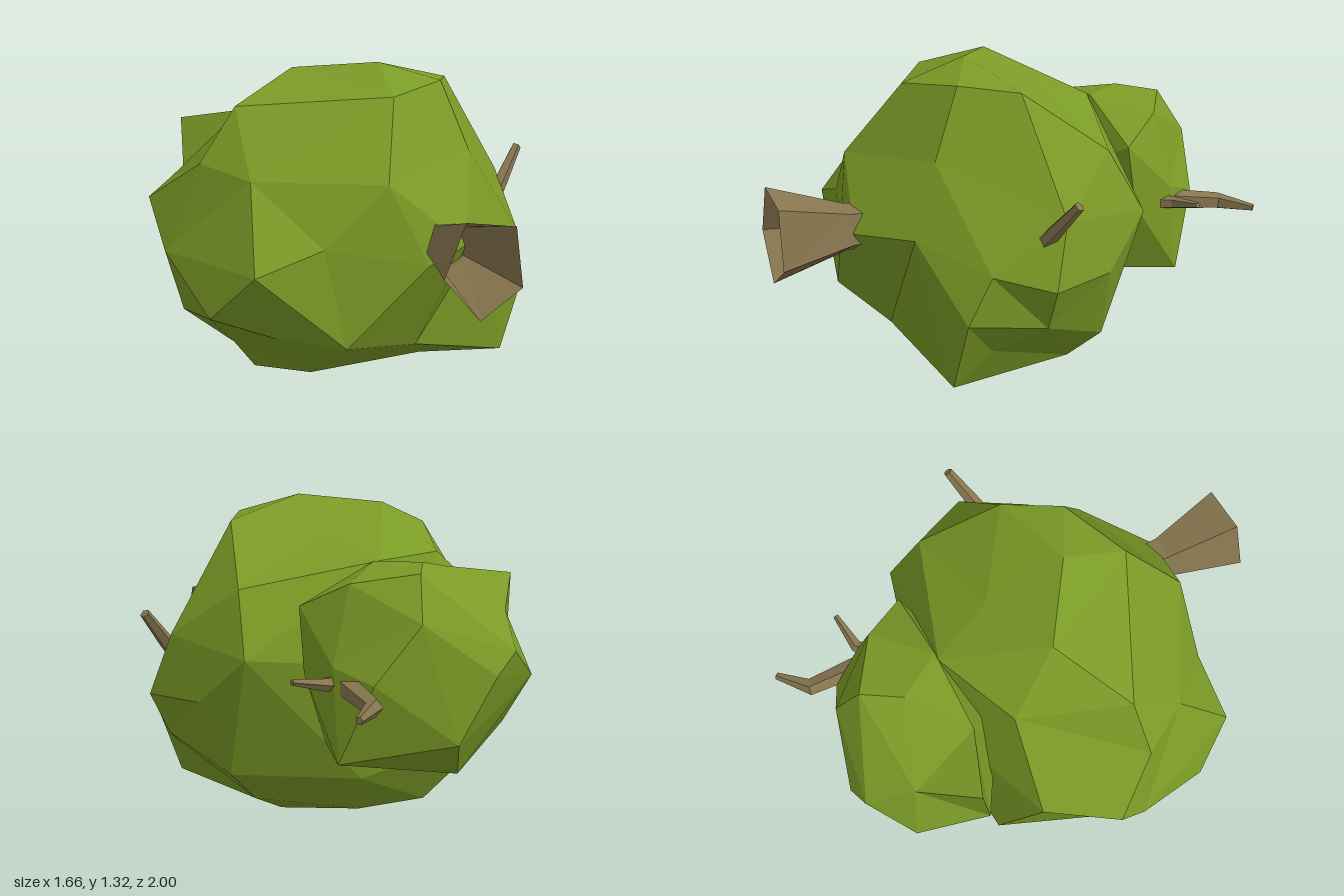
import * as THREE from 'three';
import { ConvexGeometry } from 'three/addons/geometries/ConvexGeometry.js';

const leaf = new THREE.MeshStandardMaterial({ color: 0x7b9b26, flatShading: true });
const bark = new THREE.MeshStandardMaterial({ color: 0x87764f, flatShading: true, side: THREE.DoubleSide });

// Faceted clump of leaves: corners around a centre, joined the way their directions join on a sphere,
// so dents and spikes are kept
function clump(name, center, corners) {
  const mid = new THREE.Vector3(...center);
  const tips = corners.map((c) => new THREE.Vector3(...c));
  const dirs = tips.map((t) => t.clone().sub(mid).normalize());
  const geo = new ConvexGeometry(dirs);
  const pos = geo.attributes.position, v = new THREE.Vector3();
  for (let i = 0; i < pos.count; i++) {
    v.fromBufferAttribute(pos, i);
    let best = 0;
    dirs.forEach((d, k) => { if (d.dot(v) > dirs[best].dot(v)) best = k; });
    pos.setXYZ(i, tips[best].x, tips[best].y, tips[best].z);
  }
  geo.computeVertexNormals();
  const mesh = new THREE.Mesh(geo, leaf);
  mesh.name = name;
  return mesh;
}

// Skin between rings with equal point counts
function loft(name, rings) {
  const n = rings[0].length, index = [];
  for (let r = 0; r < rings.length - 1; r++) {
    for (let i = 0; i < n; i++) {
      const a = r * n + i, b = r * n + ((i + 1) % n);
      index.push(a, b, a + n, b, b + n, a + n);
    }
  }
  const geo = new THREE.BufferGeometry().setFromPoints(rings.flat());
  geo.setIndex(index);
  const flat = geo.toNonIndexed();
  flat.computeVertexNormals();
  const mesh = new THREE.Mesh(flat, bark);
  mesh.name = name;
  return mesh;
}

// Five-sided tapering twig along [x, y, z, radius] points, closed at the tip
function twig(name, path) {
  const pts = path.map(([x, y, z]) => new THREE.Vector3(x, y, z));
  const ring = (i, radius) => {
    const dir = pts[Math.min(i + 1, pts.length - 1)].clone().sub(pts[Math.max(i - 1, 0)]).normalize();
    const side = new THREE.Vector3(0, 1, 0).cross(dir).normalize();
    const up = dir.clone().cross(side);
    return Array.from({ length: 5 }, (_, k) => {
      const a = (k / 5) * Math.PI * 2;
      return pts[i].clone()
        .addScaledVector(side, Math.cos(a) * radius)
        .addScaledVector(up, Math.sin(a) * radius);
    });
  };
  const rings = path.map((p, i) => ring(i, p[3]));
  rings.push(ring(path.length - 1, 0));
  return loft(name, rings);
}

export function createModel() {
  const group = new THREE.Group();
  group.name = 'tree';

  // Large crown
  group.add(clump('mainFoliage', [0, 0.65, 0.08], [
    // front, around the trunk
    [0.04, 0.62, 0.71], [0.2, 0.68, 0.7], [-0.1, 0.93, 0.64], [-0.35, 0.7, 0.61],
    [-0.62, 0.62, 0.6], [-0.74, 0.43, 0.43], [-0.5, 0.34, 0.5], [-0.27, 0.31, 0.64],
    [0.08, 0.24, 0.52], [0.53, 0.12, 0.42], [0.58, 0.27, 0.28], [0.64, 0.41, 0.4],
    [0.4, 0.69, 0.52], [0.36, 0.98, 0.42], [-0.55, 0.93, 0.38],
    // top
    [0.02, 1.22, 0.43], [0.29, 1.25, 0.3], [0.42, 1.23, 0.09], [0.07, 1.32, 0.18],
    [-0.22, 1.29, -0.02], [-0.53, 1.18, 0.16], [0.1, 1.18, -0.14], [-0.35, 1.1, -0.25],
    // sides
    [-0.68, 0.97, 0.17], [-0.83, 0.81, -0.03], [-0.81, 0.62, 0.1], [-0.74, 0.37, 0.1],
    [-0.66, 0.82, -0.29], [0.66, 0.6, 0.31], [0.78, 0.55, 0.1], [0.71, 0.8, 0.03],
    [0.7, 0.38, 0.1], [0.68, 0.56, -0.17], [0.53, 1, -0.23],
    // back
    [0.57, 0.75, -0.37], [0, 1.1, -0.4], [0, 0.7, -0.52], [-0.53, 0.36, -0.43], [0.1, 0.24, -0.43],
    // underside
    [-0.55, 0.22, 0.15], [-0.42, 0.055, 0.03], [-0.27, 0.07, -0.3], [0.04, 0.07, -0.3], [-0.08, 0, -0.03],
    [-0.3, 0.12, 0.35], [0.26, 0.03, -0.03], [0.42, 0.12, -0.12], [0.56, 0.26, -0.2], [0.2, 0.12, 0.32],
  ]));

  // Smaller crown behind
  group.add(clump('backFoliage', [-0.1, 0.7, -0.55], [
    // right and left
    [0.33, 0.39, -0.67], [0.36, 0.95, -0.41], [0.36, 0.7, -0.45], [0.33, 0.75, -0.63], [0.24, 0.7, -0.78],
    [-0.55, 1.03, -0.49], [-0.55, 0.7, -0.47], [-0.47, 0.67, -0.76], [-0.45, 0.45, -0.6],
    // top
    [0.03, 1.1, -0.4], [0.02, 1.09, -0.73], [-0.08, 1.11, -0.58], [0.24, 1.05, -0.59], [-0.3, 1.06, -0.4],
    // back
    [0.07, 0.92, -0.83], [-0.2, 0.72, -0.92], [-0.05, 0.47, -0.9], [-0.3, 0.8, -0.89], [-0.38, 0.92, -0.7],
    // underside and the end hidden in the large crown
    [-0.16, 0.275, -0.55], [-0.13, 0.32, -0.77], [0.25, 0.4, -0.42], [-0.35, 0.4, -0.38], [-0.1, 0.7, -0.2],
  ]));

  // Open, flared trunk, from the crown outwards
  const mouth = [[0.27, 0.59], [0.235, 0.825], [0.03, 0.86], [-0.055, 0.66], [0.095, 0.485]];
  const neck = [[0.2, 0.635], [0.18, 0.755], [0.075, 0.77], [0.03, 0.67], [0.105, 0.585]];
  group.add(loft('trunk', [[0.6, neck], [0.7, neck], [1, mouth]].map(
    ([z, ring]) => ring.map(([x, y]) => new THREE.Vector3(x, y, z)))));

  // Bare twigs
  group.add(twig('sideTwig', [[0.58, 0.6, 0.16, 0.035], [0.71, 0.76, 0.09, 0.03], [0.815, 0.89, 0.035, 0.02]]));
  group.add(twig('longTwig', [[0.2, 0.69, -0.42, 0.05], [0.275, 0.685, -0.6, 0.048], [0.3, 0.65, -0.88, 0.036], [0.415, 0.64, -0.985, 0.015]]));
  group.add(twig('shortTwig', [[0.27, 0.68, -0.54, 0.034], [0.36, 0.69, -0.635, 0.026], [0.51, 0.72, -0.655, 0.012]]));

  return group;
}
